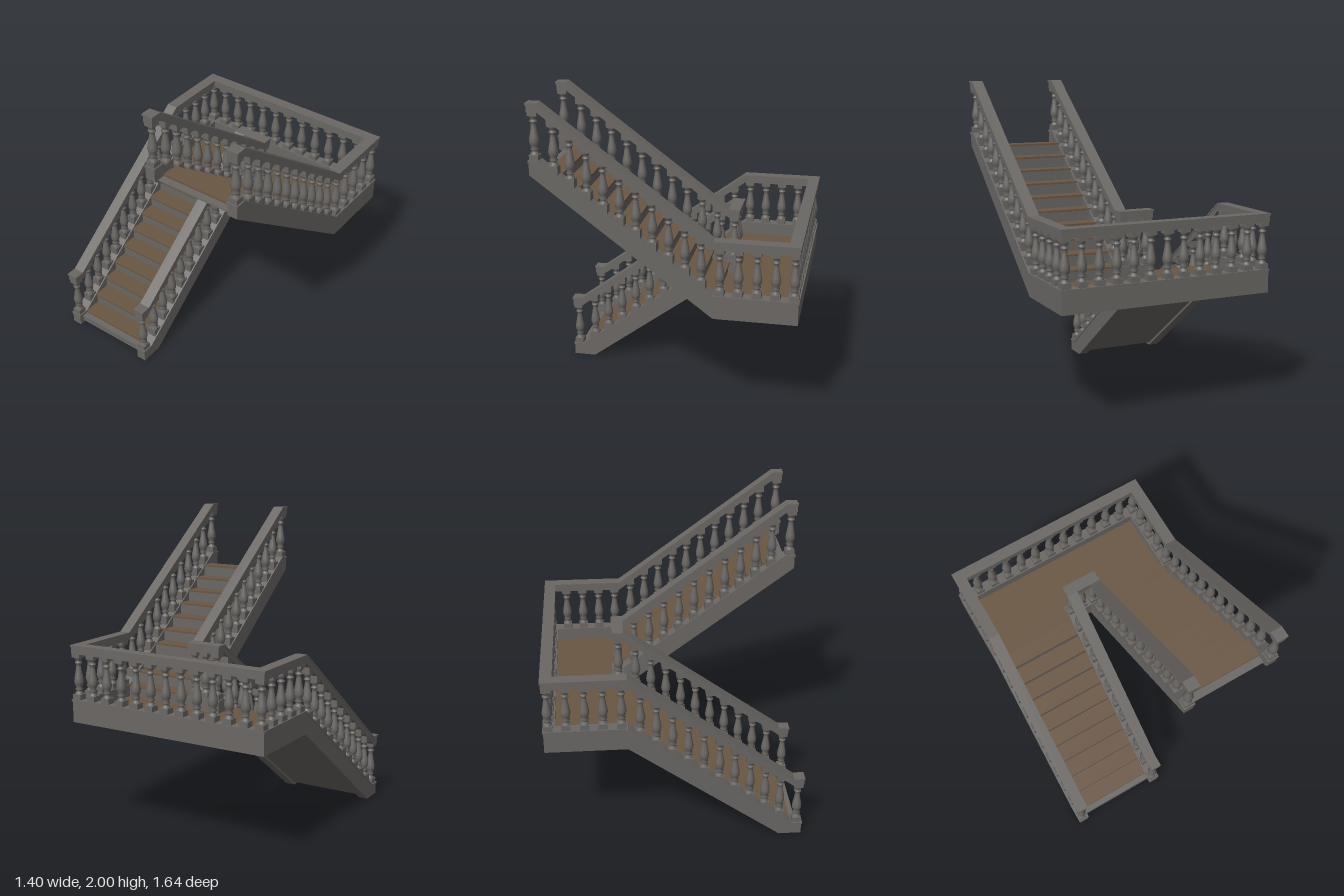
import * as THREE from 'three';
import { mergeGeometries } from 'three/addons/utils/BufferGeometryUtils.js';

const stone = new THREE.MeshStandardMaterial({ color: 0x6a6764 });
stone.name = 'grey stone';
const wood = new THREE.MeshStandardMaterial({ color: 0x6a5643 });
wood.name = 'brown tread';

const BEND = -0.3, BACK = -0.82, FRONT = 0.82, FLAT = 0.75; // z stations
const CURB = 0.87;                                          // landing curb top
const OUTER = 0.6625, INNER = 0.0825, WIDTH = 0.075;        // balustrade centres
const RUN = 0.104, RISE = 0.0784, STEPS = 10;

// Curb height along z: flat on the landing, sloped on the flight, flat at the end
function curbHeight(z, rise) {
  const t = THREE.MathUtils.clamp((z - BEND) / (FLAT - BEND), 0, 1);
  return CURB + rise * t;
}

function add(group, name, geometry, material) {
  const mesh = new THREE.Mesh(geometry, material);
  mesh.name = name;
  group.add(mesh);
  return mesh;
}

// Side profile of [z, y] points, extruded from x0 to x1
function sideExtrude(points, x0, x1) {
  const shape = new THREE.Shape(points.map(([z, y]) => new THREE.Vector2(z, y)));
  const g = new THREE.ExtrudeGeometry(shape, { depth: x1 - x0, bevelEnabled: false });
  return g.rotateY(-Math.PI / 2).translate(x1, 0, 0);
}

function boxBetween(x0, x1, y0, y1, z0, z1) {
  return new THREE.BoxGeometry(x1 - x0, y1 - y0, z1 - z0)
    .translate((x0 + x1) / 2, (y0 + y1) / 2, (z0 + z1) / 2);
}

// Strip that follows the curb line, between two offsets above it
function band(x, rise, back, lo, hi, inset) {
  const zs = [FRONT - inset, FLAT, BEND, back + inset];
  const top = zs.map(z => [z, curbHeight(z, rise) + hi]);
  const bottom = zs.map(z => [z, curbHeight(z, rise) + lo]).reverse();
  return sideExtrude([...top, ...bottom], x - WIDTH / 2 + inset, x + WIDTH / 2 - inset);
}

// Handrail and curb layers: low offset, high offset, inset
const railLayers = [[0.295, 0.337, 0.005], [0.337, 0.35, 0]];
const curbLip = [-0.014, 0, 0];

// Turned baluster with a square plinth and cap, standing on y = 0
function balusterGeometry() {
  const profile = [
    [0.027, 0.03], [0.027, 0.042], [0.018, 0.05], [0.02, 0.06], [0.026, 0.068],
    [0.018, 0.078], [0.027, 0.095], [0.031, 0.115], [0.028, 0.14], [0.021, 0.175],
    [0.016, 0.21], [0.015, 0.226], [0.023, 0.232], [0.023, 0.24], [0.016, 0.246],
    [0.018, 0.256], [0.026, 0.264], [0.026, 0.275],
  ].map(([r, y]) => new THREE.Vector2(r, y));
  const box = (y0, y1) => boxBetween(-0.029, 0.029, y0, y1, -0.029, 0.029);
  return mergeGeometries([box(-0.025, 0.034), new THREE.LatheGeometry(profile, 16), box(0.272, 0.318)]);
}

// One side balustrade: curb, handrail and flight balusters
function sideBalustrade(name, x, rise, back, baluster) {
  const g = new THREE.Group();
  g.name = name;
  const i = 0.005;
  const top = [FRONT - i, FLAT, BEND, back + i].map(z => [z, curbHeight(z, rise) - 0.014]);
  const bottom = rise < 0
    ? [[back + i, 0.72], [BEND, 0.72], [0.67, 0], [FRONT - i, 0]]
    : [[back + i, 0.72], [BEND, 0.72], [FRONT - i, 1.56]];
  add(g, 'stringer', sideExtrude([...top, ...bottom], x - WIDTH / 2 + i, x + WIDTH / 2 - i), stone);
  add(g, 'stringerLip', band(x, rise, back, ...curbLip), stone);
  railLayers.forEach(layer => add(g, 'handrail', band(x, rise, back, ...layer), stone));

  const zs = [0.783];
  for (let k = 0; k < 10; k++) zs.push(0.668 - 0.099 * k);
  for (let z = -0.336; z > back + 0.02; z -= 0.1125) zs.push(z);
  zs.forEach(z => add(g, 'baluster', baluster, stone).position.set(x, curbHeight(z, rise), z));
  return g;
}

// Level balustrade running along x
function crossBalustrade(name, half, z, xs, baluster) {
  const g = new THREE.Group();
  g.name = name;
  const layers = [[-0.15, -0.014, 0.005], curbLip, ...railLayers];
  layers.forEach(([lo, hi, inset], k) => {
    const d = WIDTH / 2 - inset;
    add(g, k < 2 ? 'curb' : 'handrail',
      boxBetween(-half - inset, half + inset, CURB + lo, CURB + hi, z - d, z + d), stone);
  });
  xs.forEach(x => add(g, 'baluster', baluster, stone).position.set(x, CURB, z));
  return g;
}

// Stepped slab with a sloped soffit, and a wooden tread on each step
function flight(name, x0, x1, upper) {
  const g = new THREE.Group();
  g.name = name;
  const thick = 0.012, nose = 0.012;
  const dir = upper ? 1 : -1;
  const firstNose = upper ? -0.315 : 0.747, firstTop = upper ? 0.864 : 0.08;
  const outline = upper
    ? [[0.785, 1.558], [0.785, 1.55], [BEND, 0.74], [BEND, 0.765]]
    : [[BEND, 0.74], [0.67, 0.02], [0.785, 0.02], [0.785, 0.062], [firstNose - nose, 0.062]];
  for (let i = 0; i < STEPS; i++) {
    const z = firstNose + dir * RUN * i, y = firstTop + RISE * i;
    const riser = z + dir * nose;
    let end = riser + dir * RUN;
    if (i === STEPS - 1) end = upper ? 0.735 : BEND;
    outline.push([riser, y - thick], [end, y - thick]);
    add(g, 'tread', boxBetween(x0, x1, y - thick, y, Math.min(z, end), Math.max(z, end)), wood);
  }
  add(g, 'steppedSlab', sideExtrude(outline, x0, x1), stone);
  return g;
}

export function createModel() {
  const model = new THREE.Group();
  model.name = 'staircase';
  const baluster = balusterGeometry();

  // Flights
  model.add(flight('lowerFlight', -0.632, -0.113, false));
  model.add(flight('upperFlight', 0.113, 0.632, true));

  // Half landing
  const landing = new THREE.Group();
  landing.name = 'landing';
  add(landing, 'landingSlab', boxBetween(-0.632, 0.632, 0.74, 0.774, -0.755, BEND - 0.008), stone);
  add(landing, 'landingFloor', boxBetween(-0.632, 0.632, 0.774, 0.7856, -0.755, BEND), wood);
  model.add(landing);

  // Balustrades on both sides of each flight
  const down = -0.785, up = 0.78;
  model.add(sideBalustrade('lowerOuterBalustrade', -OUTER, down, BACK, baluster));
  model.add(sideBalustrade('lowerInnerBalustrade', -INNER, down, -0.375, baluster));
  model.add(sideBalustrade('upperInnerBalustrade', INNER, up, -0.375, baluster));
  model.add(sideBalustrade('upperOuterBalustrade', OUTER, up, BACK, baluster));

  // Level balustrades at the back and across the stairwell
  const backXs = [];
  for (let k = -5; k <= 5; k++) backXs.push(k * 0.111);
  model.add(crossBalustrade('backBalustrade', 0.625, BACK + WIDTH / 2, backXs, baluster));
  model.add(crossBalustrade('wellBalustrade', 0.045, BEND - WIDTH / 2, [0], baluster));

  return model;
}
